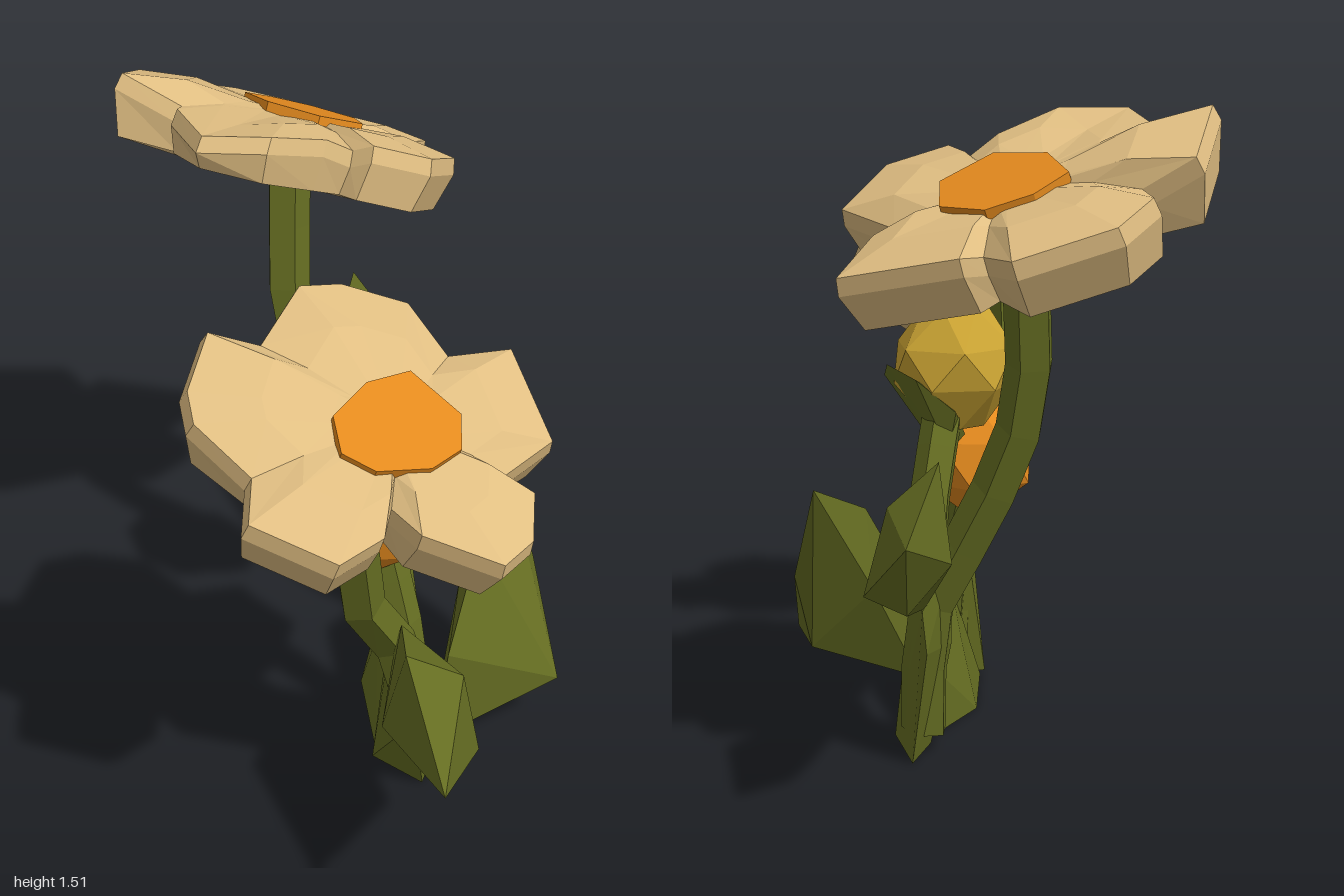
import * as THREE from 'three';
import { ConvexGeometry } from 'three/addons/geometries/ConvexGeometry.js';

const V = (p) => new THREE.Vector3(...p);

export function createModel() {
  const group = new THREE.Group();
  const mat = (name, color) => {
    const m = new THREE.MeshStandardMaterial({ color });
    m.name = name;
    return m;
  };
  const green = mat('leaf green', 0x656d22);
  const cream = mat('petal cream', 0xe0be82);
  const orange = mat('orange', 0xe48a1e);
  const yellow = mat('bud yellow', 0xcba433);

  const add = (name, geo, material) => {
    const g = geo.index ? geo.toNonIndexed() : geo;
    g.computeVertexNormals(); // faceted look
    const mesh = new THREE.Mesh(g, material);
    mesh.name = name;
    group.add(mesh);
    return mesh;
  };
  const hull = (name, pts, material = green) => add(name, new ConvexGeometry(pts.map(V)), material);
  const stem = (name, pts, r) => {
    const curve = new THREE.CatmullRomCurve3(pts.map(V), false, 'centripetal');
    return add(name, new THREE.TubeGeometry(curve, pts.length * 2 - 2, r, 5), green);
  };

  // Joins closed rings of equal length into a skin
  const loft = (rings) => {
    const pos = [], n = rings[0].length;
    for (let k = 0; k < rings.length - 1; k++) {
      const a = rings[k], b = rings[k + 1];
      for (let i = 0; i < n; i++) {
        const j = (i + 1) % n;
        for (const p of [a[i], b[i], b[j], a[i], b[j], a[j]]) pos.push(p.x, p.y, p.z);
      }
    }
    const g = new THREE.BufferGeometry();
    g.setAttribute('position', new THREE.Float32BufferAttribute(pos, 3));
    return g;
  };

  // Flower head on a tilted plane; outline points are [x, z, lift]
  const flower = (name, c, slope, outline, disc) => {
    const normal = new THREE.Vector3(slope[0], 1, slope[1]).normalize();
    const at = (p, s, h) => {
      const dx = (p[0] - c[0]) * s, dz = (p[1] - c[2]) * s;
      return new THREE.Vector3(c[0] + dx, c[1] - slope[0] * dx - slope[1] * dz, c[2] + dz).addScaledVector(normal, h);
    };
    const ring = (s, h, liftShare) => outline.map((p) => at(p, s, h + liftShare * (p[2] || 0)));
    add(name + 'Petals', loft([
      ring(0, 0, 0), ring(0.3, 0, 0.2), ring(0.65, 0.01, 0.8), ring(0.99, -0.01, 1),
      ring(1.01, -0.05, 1), ring(0.94, -0.145, 0), ring(0.5, -0.16, -0.5), ring(0, -0.16, 0),
    ]), cream);
    const flat = (h, s) => disc.map((p) => at(p, s, h));
    add(name + 'Centre', loft([flat(0.016, 0), flat(0.016, 1), flat(-0.03, 1)]), orange);
  };

  const n = -0.025; // crease between petals
  flower('frontFlower', [0.06, 1.105, 0.53], [0.25, 0.39], [
    [0.13, 0.18, -0.015], [-0.02, 0.16, -0.015], [-0.12, 0.2], [-0.21, 0.36, n], [-0.33, 0.37], [-0.38, 0.53], [-0.37, 0.61],
    [-0.25, 0.7, n], [-0.27, 0.83], [-0.09, 0.89], [0.01, 0.81], [0.04, 0.72, n], [0.09, 0.79], [0.26, 0.83],
    [0.33, 0.76], [0.35, 0.64], [0.3, 0.59, n], [0.41, 0.5], [0.35, 0.27], [0.21, 0.3, n],
  ], [[0.1, 0.4], [0, 0.45], [-0.08, 0.55], [-0.07, 0.64], [0, 0.67], [0.12, 0.64], [0.19, 0.58], [0.2, 0.49]]);

  flower('backFlower', [-0.06, 1.345, -0.56], [0.29, -0.33], [
    [-0.02, -0.8, n], [-0.09, -0.91], [-0.3, -0.89], [-0.37, -0.8], [-0.34, -0.69, n], [-0.46, -0.7, 0.015], [-0.5, -0.46, 0.015],
    [-0.35, -0.4, n], [-0.36, -0.36, -0.03], [-0.3, -0.16, -0.06], [-0.15, -0.13, -0.025], [-0.02, -0.22, -0.01], [0.05, -0.27, n],
    [0.09, -0.23], [0.23, -0.24], [0.31, -0.42], [0.19, -0.54, n], [0.22, -0.6], [0.28, -0.76], [0.02, -0.83],
  ], [[-0.03, -0.69], [-0.13, -0.68], [-0.2, -0.62], [-0.15, -0.49], [-0.03, -0.41], [0.08, -0.48], [0.07, -0.61]]);

  // Stems
  stem('frontStem', [[0.13, 0.05, 0.29], [0.11, 0.32, 0.31], [0, 0.54, 0.38], [-0.01, 1.03, 0.465]], 0.056);
  stem('backStem', [[0.14, 0.05, -0.3], [0.12, 0.35, -0.32], [0, 0.58, -0.36], [-0.1, 0.85, -0.41], [-0.1, 1.25, -0.49]], 0.056);
  stem('orangeBudStem', [[0.14, 0.12, 0.24], [0.12, 0.32, 0.2], [0.07, 0.55, 0.13]], 0.05);
  stem('yellowBudStem', [[0.13, 0.38, -0.32], [0.13, 0.55, -0.28], [0.1, 0.8, -0.16]], 0.05);

  // Buds: staggered rings of [y, radius], x and z offset of the centre
  const bud = (name, cx, cz, sides, rings, material) => {
    const pts = [];
    rings.forEach(([y, r], k) => {
      for (let i = 0; i < sides; i++) {
        const a = ((i + k / 2) / sides) * Math.PI * 2 + 0.3;
        pts.push([cx + r * Math.cos(a), y, cz + r * Math.sin(a)]);
      }
    });
    hull(name, pts, material);
  };
  bud('orangeBud', 0.05, 0.125, 5, [[0.475, 0.05], [0.55, 0.138], [0.66, 0.138], [0.75, 0.05]], orange);
  bud('yellowBud', 0.08, -0.12, 6, [[0.74, 0.07], [0.84, 0.146], [0.93, 0.146], [1.02, 0.075]], yellow);

  hull('yellowBudSepal', [
    [0.09, 0.69, -0.21], [0.15, 0.7, -0.08], [0.06, 0.71, -0.1], [0.22, 0.82, -0.03],
    [0.25, 0.85, -0.1], [0.235, 0.89, -0.18], [0.16, 0.87, -0.265], [0.07, 0.79, -0.24], [0.11, 0.78, -0.02],
  ]);

  // Bases of the two plants and the leaf joining them
  hull('frontBase', [
    [0.04, 0, 0.29], [0.15, 0, 0.4], [0.22, 0, 0.23], [0.12, 0.27, 0.5], [0.08, 0.4, 0.32],
    [0.16, 0.33, 0.28], [0.22, 0.15, 0.25], [0.07, 0.25, 0.26],
  ]);
  hull('backBase', [
    [0.13, 0, -0.26], [0.16, 0, -0.4], [0.22, 0, -0.21], [0.12, 0.28, -0.46], [0.13, 0.38, -0.46],
    [0.08, 0.45, -0.28], [0.17, 0.42, -0.25], [0.19, 0.16, -0.21], [0.08, 0.25, -0.27],
  ]);
  hull('middleLeaf', [
    [0.05, 0, 0.26], [0.2, 0, 0.24], [0.04, 0, -0.01], [0.15, 0, -0.26], [0.2, 0, -0.21], [0.13, 0.17, -0.21],
    [0.13, 0.3, -0.05], [0.18, 0.2, 0], [0.08, 0.17, 0.02], [0.12, 0.26, 0.2],
  ]);

  // Pointed leaves
  hull('frontLeaf', [
    [0.12, 0.47, 1], [0.07, 0.61, 0.69], [0.2, 0.54, 0.68], [0.24, 0.33, 0.68], [0.13, 0.32, 0.73],
    [0.02, 0.41, 0.68], [0.09, 0.5, 0.43], [0.13, 0.28, 0.5], [0.18, 0.33, 0.36], [0.09, 0.37, 0.32],
  ]);
  hull('backLeaf', [
    [0.11, 0.67, -1], [0.07, 0.78, -0.7], [0.18, 0.68, -0.7], [0.23, 0.49, -0.72], [0.13, 0.47, -0.79],
    [0.04, 0.57, -0.74], [0.09, 0.64, -0.45], [0.13, 0.37, -0.4], [0.16, 0.43, -0.32], [0.08, 0.45, -0.31],
  ]);
  hull('sideLeaf', [
    [0.2, 0, 0.24], [0.2, 0.01, 0.19], [0.51, 0.14, 0.2], [0.45, 0.14, 0.02], [0.23, 0.25, 0.23],
    [0.32, 0.48, 0.08], [0.41, 0.59, -0.19], [0.48, 0.34, -0.05], [0.29, 0.3, -0.02],
  ]);
  return group;
}
